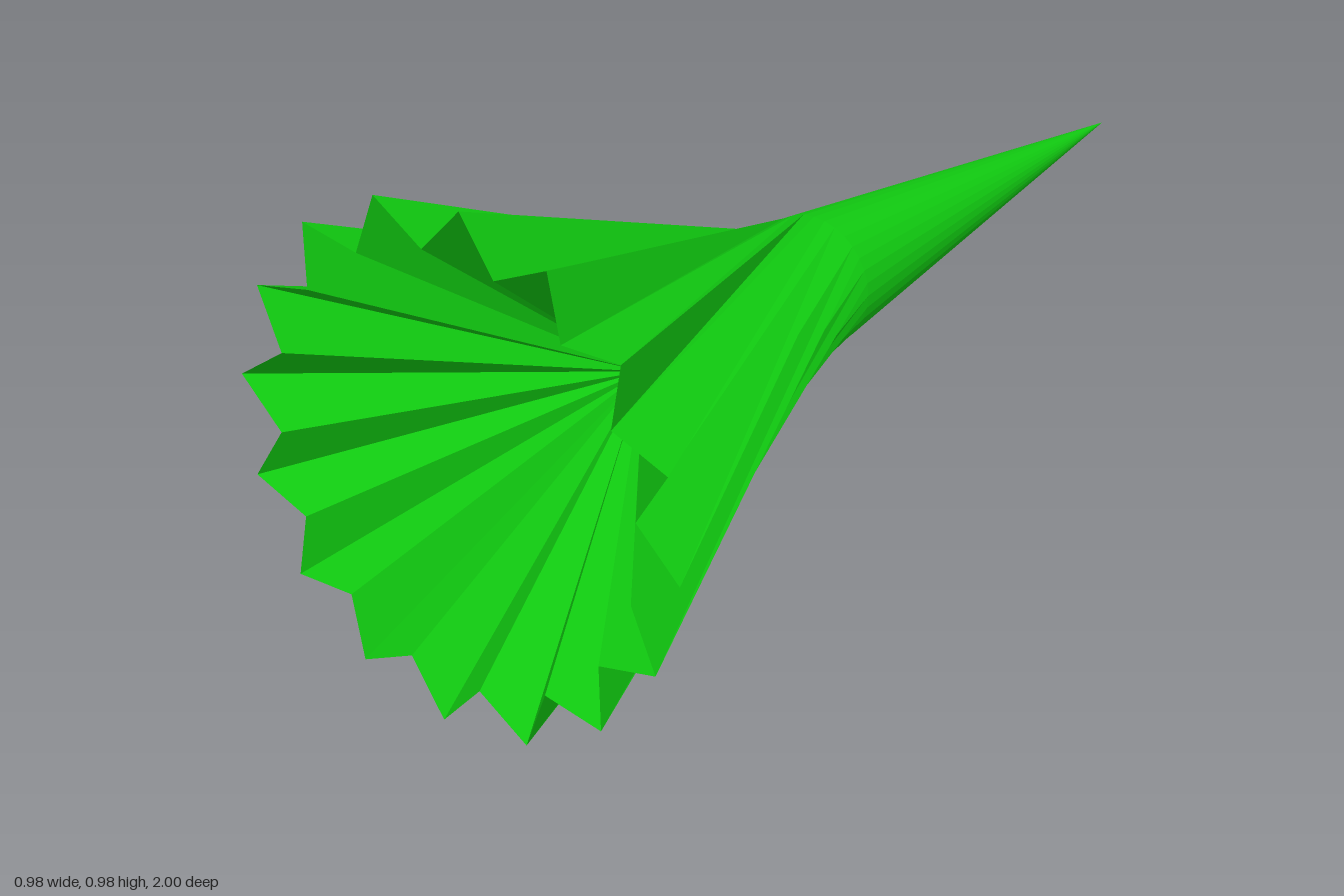
import * as THREE from 'three';

const POINTS = 16, N = POINTS * 2;
const CENTRE_Y = 0.4925;
const RIDGE_R = 0.492, VALLEY_R = 0.403, NECK_R = 0.127;
const START = THREE.MathUtils.degToRad(-5.3);   // angle of the first ridge
const TWIST = THREE.MathUtils.degToRad(61.55);  // turn of the neck against the star rim

// Ring of N points around the z axis
function ring(z, start, radiusAt) {
  return Array.from({ length: N }, (_, i) => {
    const a = start + (i / N) * Math.PI * 2, r = radiusAt(i);
    return new THREE.Vector3(r * Math.cos(a), CENTRE_Y + r * Math.sin(a), z);
  });
}

// Flat-faced mesh from a list of triangle corners
function facetMesh(name, corners, material) {
  const geometry = new THREE.BufferGeometry().setFromPoints(corners);
  geometry.computeVertexNormals();
  const mesh = new THREE.Mesh(geometry, material);
  mesh.name = name;
  return mesh;
}

export function createModel() {
  const group = new THREE.Group();
  group.name = 'pleatedTrumpet';
  const green = new THREE.MeshStandardMaterial({ color: 0x10c810, flatShading: true });

  const rim = ring(1, START, i => (i % 2 ? VALLEY_R : RIDGE_R));
  const neck = ring(0, START + TWIST, () => NECK_R);
  const throat = new THREE.Vector3(0, CENTRE_Y, 0.5);
  const tip = new THREE.Vector3(0, CENTRE_Y, -1);

  const inside = [], bell = [], spike = [];
  for (let i = 0; i < N; i++) {
    const j = (i + 1) % N;
    inside.push(rim[i], rim[j], throat);                                   // pleated funnel
    bell.push(rim[i], neck[j], rim[j], rim[i], neck[i], neck[j]);          // twisted outer wall
    spike.push(neck[i], tip, neck[j]);                                     // rear cone
  }
  group.add(
    facetMesh('funnelInside', inside, green),
    facetMesh('twistedBell', bell, green),
    facetMesh('rearSpike', spike, green)
  );
  return group;
}
